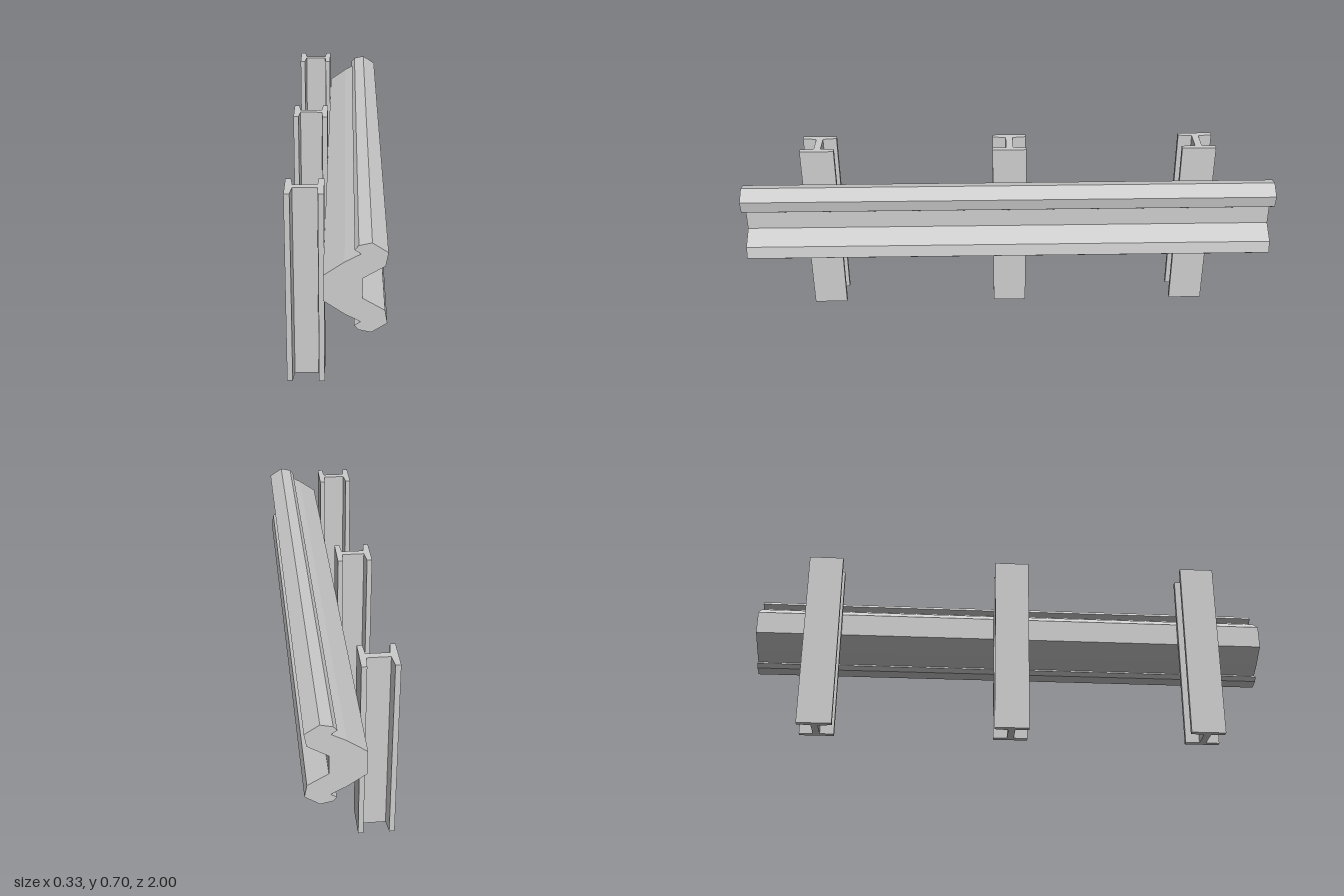
import * as THREE from 'three';

const material = new THREE.MeshStandardMaterial({ color: 0xcccccc, flatShading: true });

// Straight extrusion of a closed outline
function extrude(points, depth) {
  const shape = new THREE.Shape(points.map(([x, y]) => new THREE.Vector2(x, y)));
  return new THREE.ExtrudeGeometry(shape, { depth, bevelEnabled: false });
}

// Completes a half outline by mirroring it across y = 0
function mirrored(half) {
  return [...half, ...half.map(([x, y]) => [x, -y]).reverse()];
}

export function createModel() {
  const group = new THREE.Group();

  // Guard rail: hooked channel section running the full length
  const railHalf = [
    [-0.037, 0.044], [0.03, 0.091], [0.08, 0.118], [0.06, 0.132], [0.073, 0.147],
    [0.114, 0.156], [0.164, 0.123], [0.156, 0.077], [0.086, 0.035],
  ];
  const rail = new THREE.Mesh(extrude(mirrored(railHalf), 2), material);
  rail.name = 'guardRail';
  rail.position.set(0, 0.469, -1);
  group.add(rail);

  // Posts: upright I-beams with tapered flanges
  const postHalf = [
    [-0.166, 0.065], [-0.147, 0.065], [-0.141, 0.013],
    [-0.059, 0.013], [-0.056, 0.065], [-0.037, 0.065],
  ];
  const postGeometry = extrude(mirrored(postHalf), 0.697).rotateX(-Math.PI / 2);
  [['frontPost', 0.731], ['middlePost', -0.006], ['backPost', -0.734]].forEach(([name, z]) => {
    const post = new THREE.Mesh(postGeometry, material);
    post.name = name;
    post.position.z = z;
    group.add(post);
  });

  return group;
}
